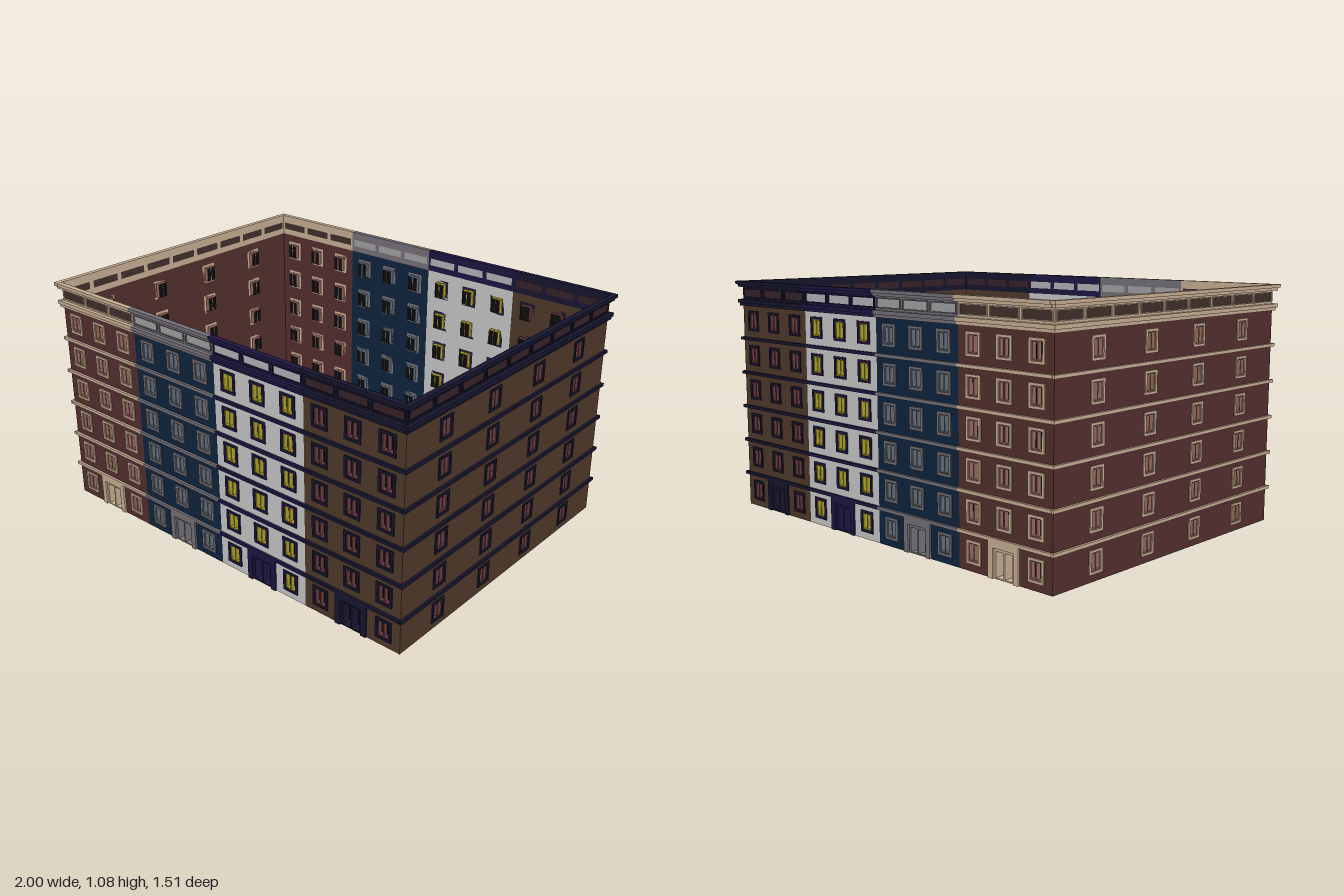
import * as THREE from 'three';

const U = 0.1625;                 // bay width and storey height
const HALF_W = 6 * U, HALF_D = 4.5 * U, FLOORS = 6;
const DOUBLE = THREE.DoubleSide;
const mat = (color) => new THREE.MeshStandardMaterial({ color, side: DOUBLE });
const black = mat(0x0c0c0c);

const style = (wall, trim, sash, panel) =>
  ({ wall: mat(wall), trim: mat(trim), sash: mat(sash), panel: mat(panel) });
const STYLES = {
  red: style(0x55302e, 0xcbb196, 0x9c6c62, 0x42302c),
  blue: style(0x0f2540, 0x77737a, 0x66707c, 0xa4a4a6),
  white: style(0xc6c6c8, 0x1e1642, 0xb0a428, 0xb6b6bc),
  brown: style(0x503a2b, 0x17162f, 0x6a3c40, 0x38222a),
};

// Rectangle outline given by its centre, as a shape or a hole
function rect(x, y, w, h, Type = THREE.Path) {
  const p = new Type();
  p.moveTo(x - w / 2, y - h / 2);
  p.lineTo(x + w / 2, y - h / 2);
  p.lineTo(x + w / 2, y + h / 2);
  p.lineTo(x - w / 2, y + h / 2);
  p.closePath();
  return p;
}

function plate(x, y, w, h, holes = []) {
  const s = rect(x, y, w, h, THREE.Shape);
  s.holes.push(...holes);
  return s;
}

const flat = (shape) => new THREE.ShapeGeometry(shape);
const solid = (shape, depth, z = 0) =>
  new THREE.ExtrudeGeometry(shape, { depth, bevelEnabled: false }).translate(0, 0, z);

function add(parent, name, geometry, material, x = 0, y = 0, z = 0) {
  const m = new THREE.Mesh(geometry, material);
  m.name = name;
  m.position.set(x, y, z);
  parent.add(m);
  return m;
}

// Opening with a two-pane sash; the panes are boxes recessed behind the wall
function openingParts({ w, h, paneW, paneH, gap, depth, paneY, surround }) {
  const px = (paneW + gap) / 2;
  const panes = [-px, px].map((x) => rect(x, paneY, paneW, paneH));
  const t = 0.003;
  return {
    w, h, px, paneY, depth, surround,
    sash: flat(plate(0, 0, w, h, panes)),
    reveal: solid(plate(0, 0, paneW + t, paneH + t, [rect(0, 0, paneW, paneH)]), depth, -depth),
    glass: flat(plate(0, 0, paneW + t, paneH + t)),
  };
}

const WINDOW = openingParts({
  w: 0.056, h: 0.074, paneW: 0.021, paneH: 0.066, gap: 0.005, depth: 0.02, paneY: 0,
  surround: solid(plate(0, 0, 0.079, 0.095, [rect(0, 0, 0.056, 0.074)]), 0.005),
});

// The door surround is a portal open at the ground
const portal = new THREE.Shape([
  [-0.079, 0], [-0.0535, 0], [-0.0535, 0.122], [0.0535, 0.122],
  [0.0535, 0], [0.079, 0], [0.079, 0.15], [-0.079, 0.15],
].map(([x, y]) => new THREE.Vector2(x, y - 0.061)));
const DOOR = openingParts({
  w: 0.107, h: 0.122, paneW: 0.04, paneH: 0.104, gap: 0.006, depth: 0.042, paneY: -0.004,
  surround: solid(portal, 0.009),
});

function addOpening(parent, name, part, s, x, y) {
  const g = new THREE.Group();
  g.name = name;
  g.position.set(x, y, 0);
  parent.add(g);
  add(g, name + 'Surround', part.surround, s.trim);
  add(g, name + 'Sash', part.sash, part === DOOR ? s.trim : s.sash);
  for (const side of [-1, 1]) {
    add(g, name + 'Reveal', part.reveal, part === DOOR ? s.trim : s.sash, side * part.px, part.paneY);
    add(g, name + 'Pane', part.glass, black, side * part.px, part.paneY, -part.depth);
  }
}

// Horizontal mouldings: [bottom, top, projection]
const MOULDINGS = [
  [0.96, 0.973, 0.012], [0.973, 0.99, 0.018],
  [1.048, 1.06, 0.017], [1.06, 1.075, 0.025],
];
for (let f = 1; f < FLOORS; f++) MOULDINGS.push([f * U - 0.014, f * U, 0.012]);

const PANEL_Y = 1.02, PANEL_W = 0.15, PANEL_H = 0.044;
const panelFrame = solid(plate(0, 0, PANEL_W, PANEL_H,
  [rect(0, 0, PANEL_W - 0.01, PANEL_H - 0.01)]), 0.004);
const panelFill = flat(plate(0, 0, PANEL_W - 0.01, PANEL_H - 0.01));

// One facade in the xy plane, facing +z
function facade(name, s, bays, windowXs, { door = false, wrap = false } = {}) {
  const g = new THREE.Group();
  g.name = name;
  const width = bays * U, top = FLOORS * U;

  // Wall with its openings
  const holes = [];
  for (let f = 0; f < FLOORS; f++) {
    for (const x of windowXs) {
      const isDoor = door && f === 0 && x === 0;
      const part = isDoor ? DOOR : WINDOW;
      const y = isDoor ? 0.0615 : f * U + 0.078;
      holes.push(rect(x, y, part.w, part.h));
      addOpening(g, isDoor ? 'door' : 'window', part, s, x, y);
    }
  }
  add(g, 'wall', flat(plate(0, top / 2, width, top, holes)), s.wall);

  // Frieze of framed panels
  const friezeHoles = [];
  for (let i = 0; i < bays; i++) {
    const x = (i - (bays - 1) / 2) * U;
    friezeHoles.push(rect(x, PANEL_Y, PANEL_W - 0.01, PANEL_H - 0.01));
    add(g, 'friezePanel', panelFill, s.panel, x, PANEL_Y);
    add(g, 'friezePanelFrame', panelFrame, s.trim, x, PANEL_Y);
  }
  add(g, 'frieze', flat(plate(0, (top + 1.075) / 2, width, 1.075 - top, friezeHoles)), s.trim);

  // Floor bands and cornices; the wrapping ones fill the building corners
  for (const [y0, y1, out] of MOULDINGS) {
    const w = width + (wrap ? 2 * out : 0);
    add(g, y0 > 0.9 ? 'cornice' : 'floorBand',
      new THREE.BoxGeometry(w, y1 - y0, out - 0.001), s.trim, 0, (y0 + y1) / 2, (out + 0.001) / 2);
  }
  return g;
}

export function createModel() {
  const model = new THREE.Group();
  model.name = 'apartmentBlock';

  // Four town houses along the front and again along the back
  ['red', 'blue', 'white', 'brown'].forEach((key, i) => {
    for (const side of [1, -1]) {
      const f = facade(key + (side > 0 ? 'FrontFacade' : 'BackFacade'), STYLES[key], 3, [-U, 0, U], { door: true });
      f.position.set((i - 1.5) * 3 * U, 0, side * HALF_D);
      if (side < 0) f.rotation.y = Math.PI;
      model.add(f);
    }
  });

  // End walls
  for (const [side, key] of [[1, 'brown'], [-1, 'red']]) {
    const f = facade(side > 0 ? 'leftEndFacade' : 'rightEndFacade', STYLES[key], 9,
      [-3 * U, -U, U, 3 * U], { wrap: true });
    f.position.x = side * HALF_W;
    f.rotation.y = side * Math.PI / 2;
    model.add(f);
  }
  return model;
}
